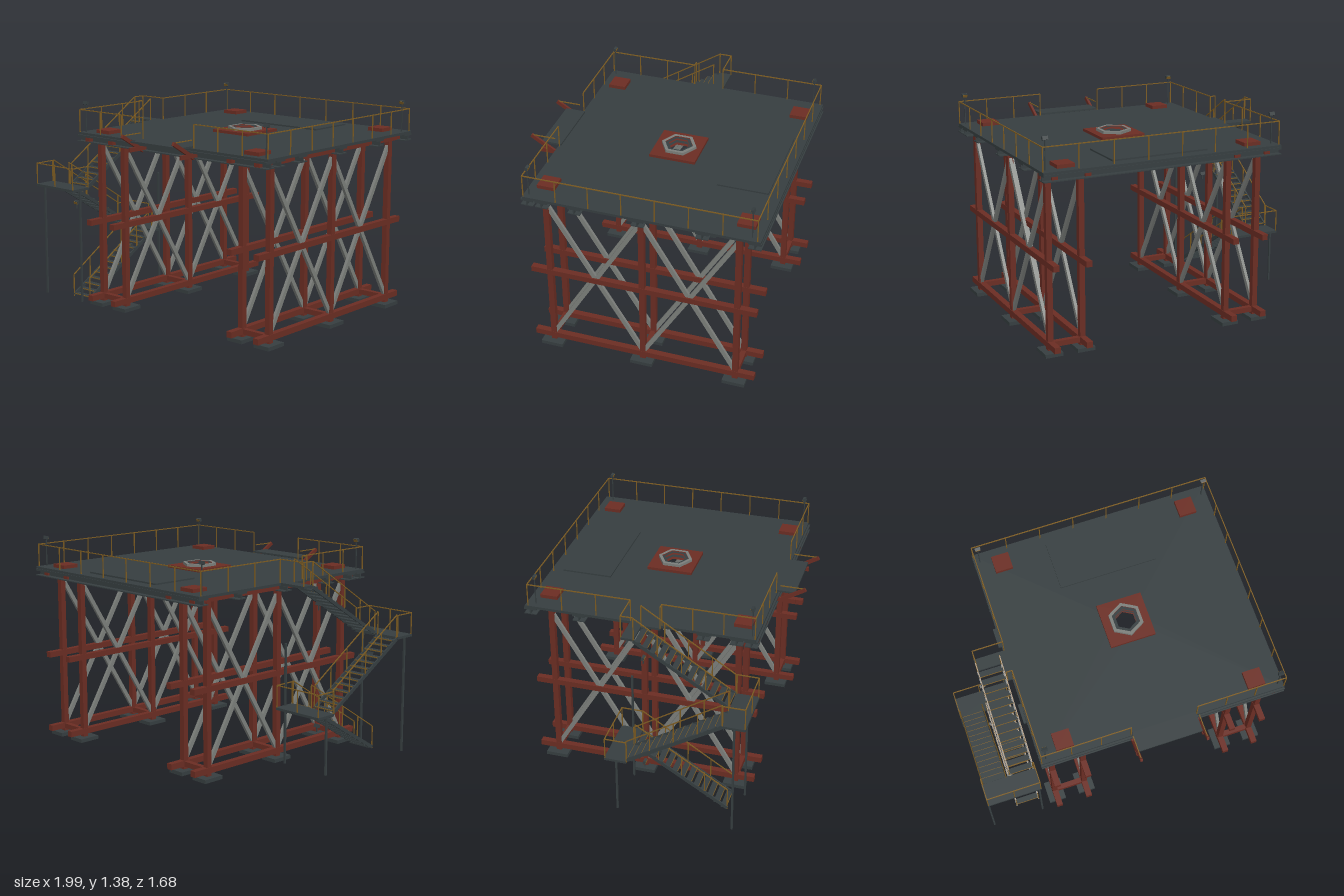
import * as THREE from 'three';

const mat = (name, color) => {
  const m = new THREE.MeshStandardMaterial({ color });
  m.name = name;
  return m;
};

export function createModel() {
  const root = new THREE.Group();
  root.name = 'servicePlatform';
  const steel = mat('darkSteel', 0x363e40);
  const rust = mat('redOxide', 0x6b2d23);
  const grey = mat('greyBrace', 0x7c7f7b);
  const ochre = mat('ochreRail', 0x7d5c22);

  const add = (name, geo, m, parent = root) => {
    const mesh = new THREE.Mesh(geo, m);
    mesh.name = name;
    parent.add(mesh);
    return mesh;
  };
  // box given by its min and max on each axis
  const box = (name, m, x0, x1, y0, y1, z0, z1, parent = root) => {
    const b = add(name, new THREE.BoxGeometry(x1 - x0, y1 - y0, z1 - z0), m, parent);
    b.position.set((x0 + x1) / 2, (y0 + y1) / 2, (z0 + z1) / 2);
    return b;
  };
  // square bar between two points
  const bar = (name, m, a, b, w = 0.006, h = w, parent = root) => {
    const p = new THREE.Vector3(...a), q = new THREE.Vector3(...b);
    const mesh = add(name, new THREE.BoxGeometry(w, h, p.distanceTo(q)), m, parent);
    mesh.position.copy(p).add(q).multiplyScalar(0.5);
    mesh.lookAt(q);
    return mesh;
  };
  const rectPts = (x0, x1, z0, z1) => [[x0, z0], [x1, z0], [x1, z1], [x0, z1]].map(([x, z]) => new THREE.Vector2(x, -z));
  const hexPts = (r, cx, cz) => Array.from({ length: 6 }, (_, i) => {
    const a = (i * Math.PI) / 3;
    return new THREE.Vector2(cx + r * Math.sin(a), -cz + r * Math.cos(a));
  });
  // horizontal plate with a hole
  const plate = (name, m, outer, hole, y0, y1) => {
    const s = new THREE.Shape(outer);
    s.holes.push(new THREE.Path(hole));
    const g = new THREE.ExtrudeGeometry(s, { depth: y1 - y0, bevelEnabled: false });
    g.rotateX(-Math.PI / 2);
    add(name, g, m).position.y = y0;
  };

  // Trestle legs, feet, rails and cross braces
  const legX = [-0.522, -0.31, 0.698, 0.91], legZ = [0.53, -0.08, -0.69];
  for (const x of legX) {
    for (const z of legZ) {
      box('leg', rust, x - 0.018, x + 0.018, 0.03, 1.13, z - 0.018, z + 0.018);
      box('foot', steel, x - 0.058, x + 0.058, 0.008, 0.032, z - 0.073, z + 0.073);
    }
    for (const [y0, y1] of [[0.05, 0.088], [0.565, 0.602], [1.122, 1.158]])
      box('longitudinalBeam', rust, x - 0.02, x + 0.02, y0, y1, -0.815, 0.655);
    for (const [a, b] of [[0.53, -0.08], [-0.08, -0.69]])
      for (const [p, q] of [[a, b], [b, a]])
        bar('crossBrace', grey, [x, 0.08, p], [x, 1.1, q], 0.02, 0.028);
  }
  for (const z of legZ)
    for (const [a, b] of [[legX[0], legX[1]], [legX[2], legX[3]]])
      for (const y of [0.067, 1.138]) bar('crossTie', rust, [a, y, z], [b, y, z], 0.034);

  // I-beams under the deck
  const iBeam = (x0, x1, z) => {
    const g = new THREE.Group();
    g.name = 'deckBeam';
    root.add(g);
    box('bottomFlange', steel, x0, x1, 1.12, 1.126, z - 0.04, z + 0.04, g);
    box('topFlange', steel, x0, x1, 1.152, 1.165, z - 0.04, z + 0.04, g);
    box('web', steel, x0, x1, 1.126, 1.152, z - 0.004, z + 0.004, g);
  };
  for (const z of [-0.8, -0.48, 0.32, 0.53, 0.622]) iBeam(-0.61, 0.99, z);
  iBeam(-0.61, 0.05, -0.08);
  iBeam(0.335, 0.99, -0.08);

  // Deck with the hexagonal opening
  const cx = 0.192, cz = -0.085;
  const hole = (r) => hexPts(r, cx, cz);
  plate('deck', steel, rectPts(-0.61, 0.99, -0.835, 0.65), hole(0.07), 1.163, 1.18);
  plate('openingPad', rust, rectPts(0.043, 0.341, -0.234, 0.064), hole(0.07), 1.18, 1.198);
  plate('openingCollar', grey, hole(0.114), hole(0.092), 1.198, 1.216);
  plate('openingLiner', steel, hole(0.092), hole(0.07), 1.198, 1.21);
  plate('lowerPad', rust, rectPts(0.08, 0.304, -0.197, 0.027), hole(0.07), 1.12, 1.163);
  box('accessCover', steel, -0.13, 0.515, 1.18, 1.19, -0.755, -0.43);
  for (const x of [-0.437, 0.822])
    for (const z of [-0.718, 0.543])
      box('cornerPad', rust, x - 0.057, x + 0.057, 1.18, 1.203, z - 0.057, z + 0.057);

  // Railings: top rail along a path, with evenly spaced posts
  const railing = (pts, h, spacing = 0.22) => {
    const g = new THREE.Group();
    g.name = 'railing';
    root.add(g);
    for (let i = 0; i + 1 < pts.length; i++) {
      const a = new THREE.Vector3(...pts[i]), b = new THREE.Vector3(...pts[i + 1]);
      const n = Math.max(1, Math.round(a.distanceTo(b) / spacing));
      bar('topRail', ochre, [a.x, a.y + h, a.z], [b.x, b.y + h, b.z], 0.006, 0.006, g);
      for (let k = 0; k <= n; k++) {
        const p = a.clone().lerp(b, k / n);
        box('railPost', ochre, p.x - 0.003, p.x + 0.003, p.y, p.y + h, p.z - 0.003, p.z + 0.003, g);
      }
    }
  };
  const dy = 1.18;
  railing([[0.405, dy, 0.645], [0.985, dy, 0.645], [0.985, dy, -0.815], [-0.603, dy, -0.815], [-0.603, dy, -0.14], [-0.8, dy, -0.14], [-0.8, dy, -0.06]], 0.148);
  railing([[-0.64, dy, 0.06], [-0.603, dy, 0.06], [-0.603, dy, 0.645], [-0.025, dy, 0.645]], 0.148);

  // Front flap with its slanted arms
  box('flap', steel, -0.014, 0.402, 1.184, 1.196, 0.635, 0.765);
  for (const x of [-0.022, 0.41]) {
    bar('flapArm', rust, [x, 1.122, 0.65], [x, 1.232, 0.832], 0.016, 0.024);
    box('flapBeam', rust, x - 0.008, x + 0.008, 1.125, 1.152, 0.6, 0.77);
    bar('flapStay', ochre, [x, 1.235, 0.67], [x, 1.235, 0.83]);
  }

  // Floodlights
  const lamp = (x, y, z, dir, stem) => {
    const g = new THREE.Group();
    g.name = 'floodlight';
    root.add(g);
    g.position.set(x, y, z);
    box('lampStem', steel, -0.003, 0.003, -stem, 0, -0.003, 0.003, g);
    const head = box('lampHead', steel, -0.018, 0.018, -0.01, 0.012, -0.009, 0.009, g);
    head.rotation.x = 0.3 * dir;
    box('lampLens', ochre, -0.015, 0.015, -0.008, 0.009, 0.009, 0.012, head).position.set(0, 0, 0.0105 * dir);
  };
  for (const x of [-0.57, 0.953]) {
    lamp(x, 1.37, 0.62, -1, 0.19);
    lamp(x, 1.37, -0.775, 1, 0.19);
  }
  for (const [y, z] of [[1.055, 0], [0.66, 0.51], [0.27, 0]]) lamp(-0.8, y, z, 1, 0.04);

  // Stair flights: stringers, treads with nosing, handrails
  const flight = (x0, x1, y0, z0, y1, z1) => {
    const g = new THREE.Group();
    g.name = 'stairFlight';
    root.add(g);
    const n = 13, s = Math.sign(z0 - z1);
    for (const x of [x0 + 0.005, x1 - 0.005]) {
      bar('stringer', steel, [x, y0 + 0.008, z0], [x, y1 - 0.008, z1], 0.01, 0.022, g);
      railing([[x, y0, z0], [x, y1, z1]], 0.152, 0.18);
    }
    for (let i = 0; i < n; i++) {
      const t = (i + 0.5) / n;
      const y = y0 + (y1 - y0) * t, z = z0 + (z1 - z0) * t;
      box('tread', steel, x0, x1, y - 0.004, y + 0.006, z - 0.018, z + 0.018, g);
      const e = z + s * 0.0195;
      box('nosing', ochre, x0 + 0.01, x1 - 0.01, y, y + 0.006, e - 0.0015, e + 0.0015, g);
    }
  };
  flight(-0.808, -0.642, 0.01, 0.545, 0.395, -0.06);
  flight(-0.99, -0.825, 0.395, -0.06, 0.785, 0.545);
  flight(-0.808, -0.642, 0.785, 0.545, 1.175, -0.06);

  // Landings and their posts
  box('lowerLanding', steel, -0.995, -0.635, 0.382, 0.398, -0.205, -0.06);
  box('upperLanding', steel, -0.995, -0.635, 0.776, 0.792, 0.545, 0.692);
  box('topLanding', steel, -0.805, -0.61, 1.165, 1.18, -0.14, -0.06);
  box('topBridge', steel, -0.64, -0.61, 1.165, 1.18, -0.06, 0.06);
  railing([[-0.99, 0.39, -0.06], [-0.99, 0.39, -0.2], [-0.64, 0.39, -0.2], [-0.64, 0.39, -0.06]], 0.15);
  railing([[-0.99, 0.785, 0.55], [-0.99, 0.785, 0.688], [-0.64, 0.785, 0.688], [-0.64, 0.785, 0.55]], 0.148);
  for (const [x, z, h] of [[-0.99, 0.622, 0.78], [-0.642, 0.622, 0.78], [-0.99, -0.126, 0.39], [-0.642, -0.126, 0.8]])
    box('landingPost', steel, x - 0.006, x + 0.006, 0.015, h, z - 0.006, z + 0.006);

  // Rest on the ground, centred
  const bb = new THREE.Box3().setFromObject(root);
  root.position.y = -bb.min.y;
  return root;
}
